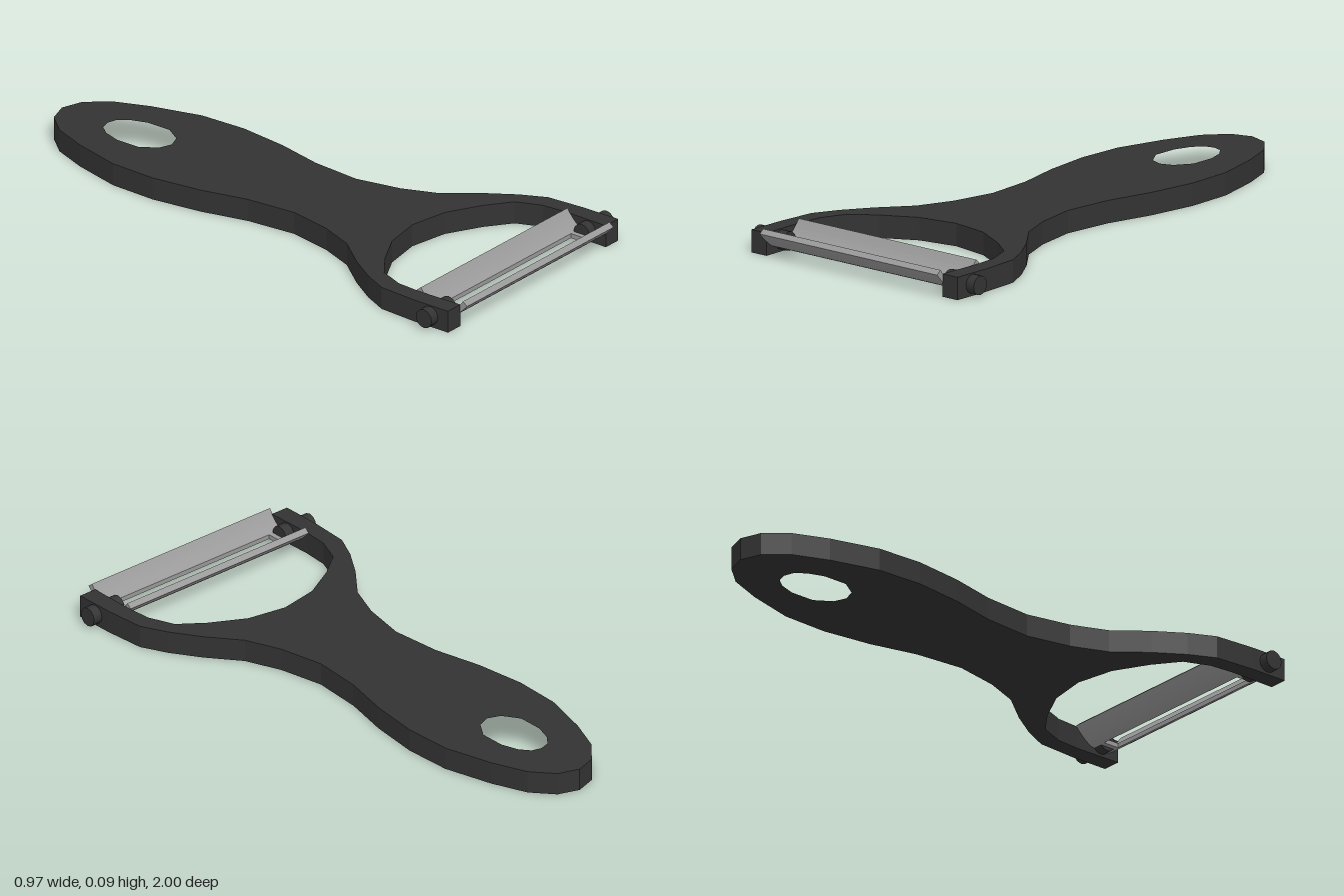
import * as THREE from 'three';

const dark = new THREE.MeshStandardMaterial({ color: 0x333333 });
dark.name = 'black plastic';
const steel = new THREE.MeshStandardMaterial({ color: 0x999999 });
steel.name = 'brushed steel';

// Closed loop from half a profile of [x, z] points, mirrored in x
function mirrored(half) {
  const back = half.filter(p => p[0] > 0).reverse().map(([x, z]) => [-x, z]);
  return [...half, ...back].map(([x, z]) => new THREE.Vector2(x, -z));
}

function add(group, name, geometry, material) {
  const mesh = new THREE.Mesh(geometry, material);
  mesh.name = name;
  group.add(mesh);
  return mesh;
}

// Flat yoke-shaped handle with a hanging hole
function handleGeometry() {
  const shape = new THREE.Shape(mirrored([
    [0, -1], [0.075, -0.975], [0.14, -0.9], [0.19, -0.775], [0.237, -0.6],
    [0.243, -0.43], [0.22, -0.25], [0.18, -0.08], [0.165, 0.1], [0.197, 0.26],
    [0.247, 0.385], [0.335, 0.495], [0.4, 0.595], [0.443, 0.685], [0.453, 0.83],
    [0.453, 0.97], [0.387, 0.97], [0.39, 0.8], [0.383, 0.71], [0.347, 0.62],
    [0.26, 0.555], [0.14, 0.49], [0, 0.465],
  ]));
  shape.holes.push(new THREE.Path(mirrored([
    [0, -0.81], [0.035, -0.8], [0.063, -0.765], [0.083, -0.705],
    [0.083, -0.615], [0.045, -0.557], [0, -0.54],
  ])));
  return new THREE.ExtrudeGeometry(shape, { depth: 0.078, bevelEnabled: false }).rotateX(-Math.PI / 2);
}

// Blade section in (z, y), swept along x between x0 and x1
function sweep(shape, x0, x1) {
  return new THREE.ExtrudeGeometry(shape, { depth: x1 - x0, bevelEnabled: false, curveSegments: 6 })
    .rotateY(-Math.PI / 2).translate(x1, 0, 0);
}

const MID = 0.895;

// One curved wing with a bevelled lip; s is -1 for the rear, 1 for the front
function wing(s) {
  const z = d => MID + s * d;
  const shape = new THREE.Shape();
  shape.moveTo(z(0.03), 0.022);
  shape.quadraticCurveTo(z(0.06), 0.028, z(0.105), 0.08);
  shape.lineTo(z(0.088), 0.094);
  shape.quadraticCurveTo(z(0.054), 0.046, z(0.03), 0.038);
  return shape;
}

export function createModel() {
  const model = new THREE.Group();
  model.name = 'peeler';
  add(model, 'handle', handleGeometry(), dark);

  const blade = new THREE.Group();
  blade.name = 'blade';
  model.add(blade);
  add(blade, 'rearWing', sweep(wing(-1), -0.39, 0.39), steel);
  add(blade, 'frontWing', sweep(wing(1), -0.39, 0.39), steel);

  for (const s of [-1, 1]) {
    const side = s > 0 ? 'left' : 'right';
    // Bridge closing the end of the slot
    add(blade, side + 'Bridge', new THREE.BoxGeometry(0.055, 0.016, 0.06), steel)
      .position.set(s * 0.3625, 0.03, MID);
    // Pivot pin through the arm
    add(model, side + 'Pin', new THREE.CylinderGeometry(0.033, 0.033, 0.133, 12).rotateZ(Math.PI / 2), dark)
      .position.set(s * 0.42, 0.041, MID);
  }
  return model;
}
